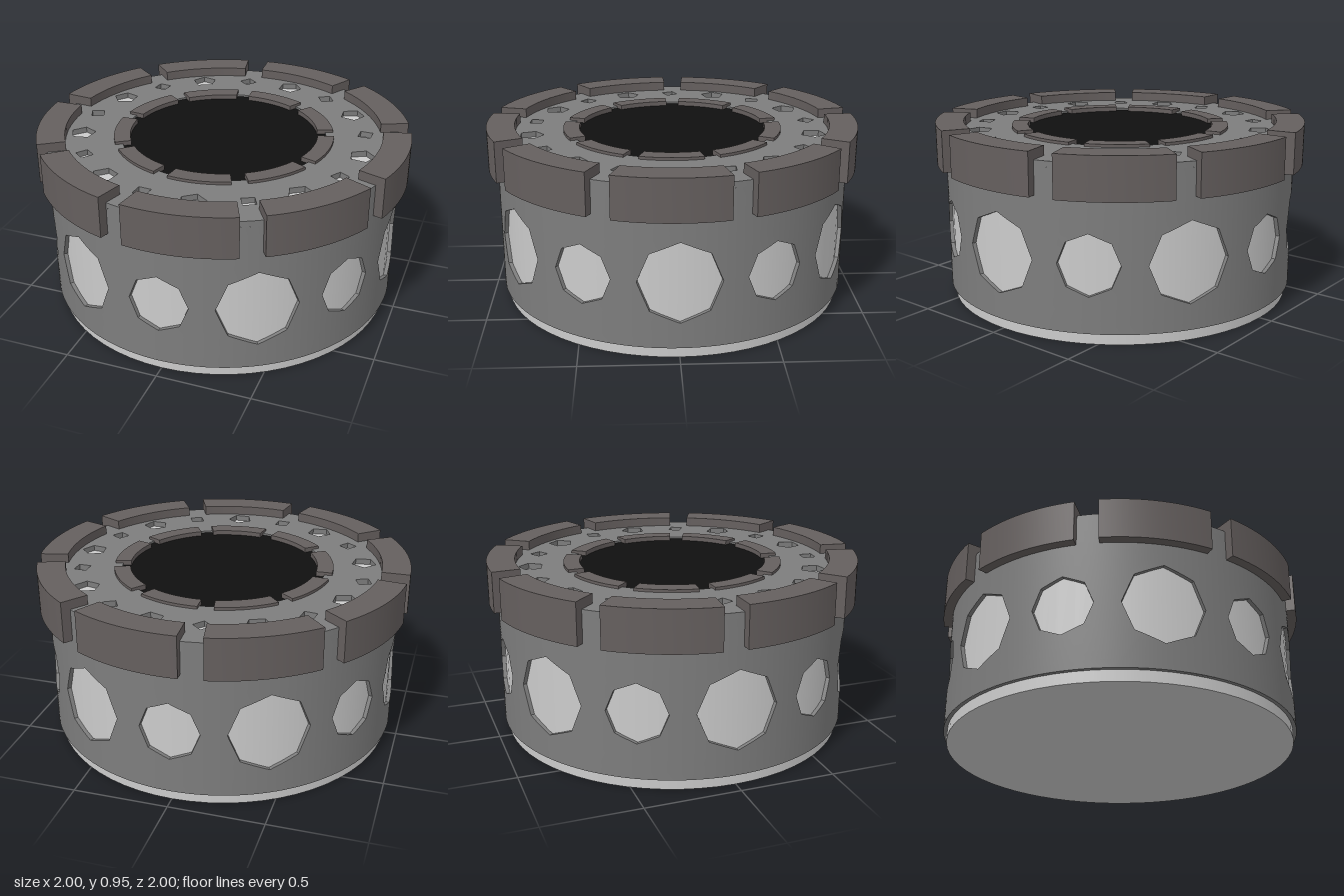
import * as THREE from 'three';
import { mergeGeometries, toCreasedNormals } from 'three/addons/utils/BufferGeometryUtils.js';

const RAD = Math.PI / 180;
const SHELL_R = 0.95, CORE_R = 0.93;
const SHELL_Y0 = 0.06, LID_Y0 = 0.87, LID_Y1 = 0.9;

const paint = (color) => new THREE.MeshStandardMaterial({ color });

function addMesh(parent, name, geometry, material, y = 0) {
  const mesh = new THREE.Mesh(geometry, material);
  mesh.name = name;
  mesh.position.y = y;
  parent.add(mesh);
  return mesh;
}

// Extrudes a plan shape upwards; shape y becomes -z
function extrudeUp(shape, height, curveSegments) {
  const g = new THREE.ExtrudeGeometry(shape, { depth: height, bevelEnabled: false, curveSegments });
  g.rotateX(-Math.PI / 2);
  return toCreasedNormals(g, 30 * RAD);
}

// Arc-shaped block, centred on an angle measured clockwise from the back
function arcBlock(rIn, rOut, centre, width, height) {
  const a0 = (90 - centre - width / 2) * RAD, a1 = (90 - centre + width / 2) * RAD;
  const s = new THREE.Shape();
  s.absarc(0, 0, rOut, a0, a1, false);
  s.absarc(0, 0, rIn, a1, a0, true);
  s.closePath();
  return extrudeUp(s, height, 10);
}

// One twelfth of the shell wall, with an octagonal hole and its rim
function wallPanel(turn, holeR) {
  const half = SHELL_R * 15 * RAD, cy = 0.405;
  const up = LID_Y0 - cy, down = cy - SHELL_Y0, steps = 5;
  const angles = Array.from({ length: 64 }, (_, i) => (i / 64) * 2 * Math.PI);
  for (const [x, y] of [[half, up], [-half, up], [-half, -down], [half, -down]]) {
    angles.push((Math.atan2(y, x) + 2 * Math.PI) % (2 * Math.PI));
  }
  angles.sort((a, b) => a - b);

  const pos = [], index = [], row = steps + 2;
  for (const t of angles) {
    const c = Math.cos(t), s = Math.sin(t);
    const inner = holeR * Math.cos(Math.PI / 8) / Math.cos((t % (Math.PI / 4)) - Math.PI / 8);
    const outer = Math.min(half / Math.max(Math.abs(c), 1e-6),
      (s > 0 ? up : down) / Math.max(Math.abs(s), 1e-6));
    for (let j = -1; j <= steps; j++) {
      const d = THREE.MathUtils.lerp(inner, outer, Math.max(j, 0) / steps);
      const r = j < 0 ? CORE_R - 0.005 : SHELL_R;
      const phi = turn + (d * c) / SHELL_R;
      pos.push(r * Math.sin(phi), cy + d * s, r * Math.cos(phi));
    }
  }
  for (let k = 0; k < angles.length; k++) {
    const a = k * row, b = ((k + 1) % angles.length) * row;
    for (let j = 0; j < row - 1; j++) {
      index.push(a + j, a + j + 1, b + j + 1, a + j, b + j + 1, b + j);
    }
  }
  const g = new THREE.BufferGeometry();
  g.setAttribute('position', new THREE.Float32BufferAttribute(pos, 3));
  g.setIndex(index);
  return g;
}

// Flat lid ring with alternating large and small angular holes
function lidGeometry() {
  const s = new THREE.Shape();
  s.absarc(0, 0, SHELL_R, 0, 2 * Math.PI, false);
  const mouth = new THREE.Path();
  mouth.absarc(0, 0, 0.55, 0, 2 * Math.PI, true);
  s.holes.push(mouth);
  for (let i = 0; i < 18; i++) {
    const a = (90 - 11.3 - i * 20) * RAD;
    const large = i % 2 === 0, sides = large ? 5 : 4, r = large ? 0.068 : 0.048;
    const pts = [];
    for (let k = 0; k < sides; k++) {
      const t = i * 1.3 - (k / sides) * 2 * Math.PI;
      pts.push(new THREE.Vector2(0.765 * Math.cos(a) + r * Math.cos(t), 0.765 * Math.sin(a) + r * Math.sin(t)));
    }
    s.holes.push(new THREE.Path(pts));
  }
  return extrudeUp(s, LID_Y1 - LID_Y0, 64);
}

export function createModel() {
  const model = new THREE.Group();
  model.name = 'drum';
  const shellPaint = paint(0x7d7d7d), blockPaint = paint(0x655f5e);

  // Pale solid core, seen through the holes and below the shell
  addMesh(model, 'core', new THREE.CylinderGeometry(CORE_R, CORE_R, LID_Y0, 64), paint(0xcccccc), LID_Y0 / 2);

  // Perforated shell wall
  const panels = [];
  for (let i = 0; i < 12; i++) panels.push(wallPanel(i * 30 * RAD, i % 2 ? 0.21 : 0.157));
  addMesh(model, 'shellWall', toCreasedNormals(mergeGeometries(panels), 30 * RAD), shellPaint);

  // Underside lip of the shell
  const lip = new THREE.RingGeometry(CORE_R - 0.005, SHELL_R, 96);
  lip.rotateX(Math.PI / 2);
  addMesh(model, 'shellLip', lip, shellPaint, SHELL_Y0);

  addMesh(model, 'lid', lidGeometry(), shellPaint, LID_Y0);

  // Black disc filling the mouth
  addMesh(model, 'mouth', new THREE.CylinderGeometry(0.552, 0.552, 0.03, 64), paint(0x101010), 0.875);

  // Nine blocks around the outer edge and nine around the mouth
  const outer = new THREE.Group(), inner = new THREE.Group();
  outer.name = 'outerBlocks';
  inner.name = 'mouthBlocks';
  model.add(outer, inner);
  for (let i = 0; i < 9; i++) {
    const centre = 12.5 + i * 40;
    addMesh(outer, 'outerBlock', arcBlock(0.85, 1, centre, 33, 0.22), blockPaint, 0.73);
    addMesh(inner, 'mouthBlock', arcBlock(0.505, 0.592, centre, 32, 0.045), blockPaint, 0.87);
  }
  return model;
}
